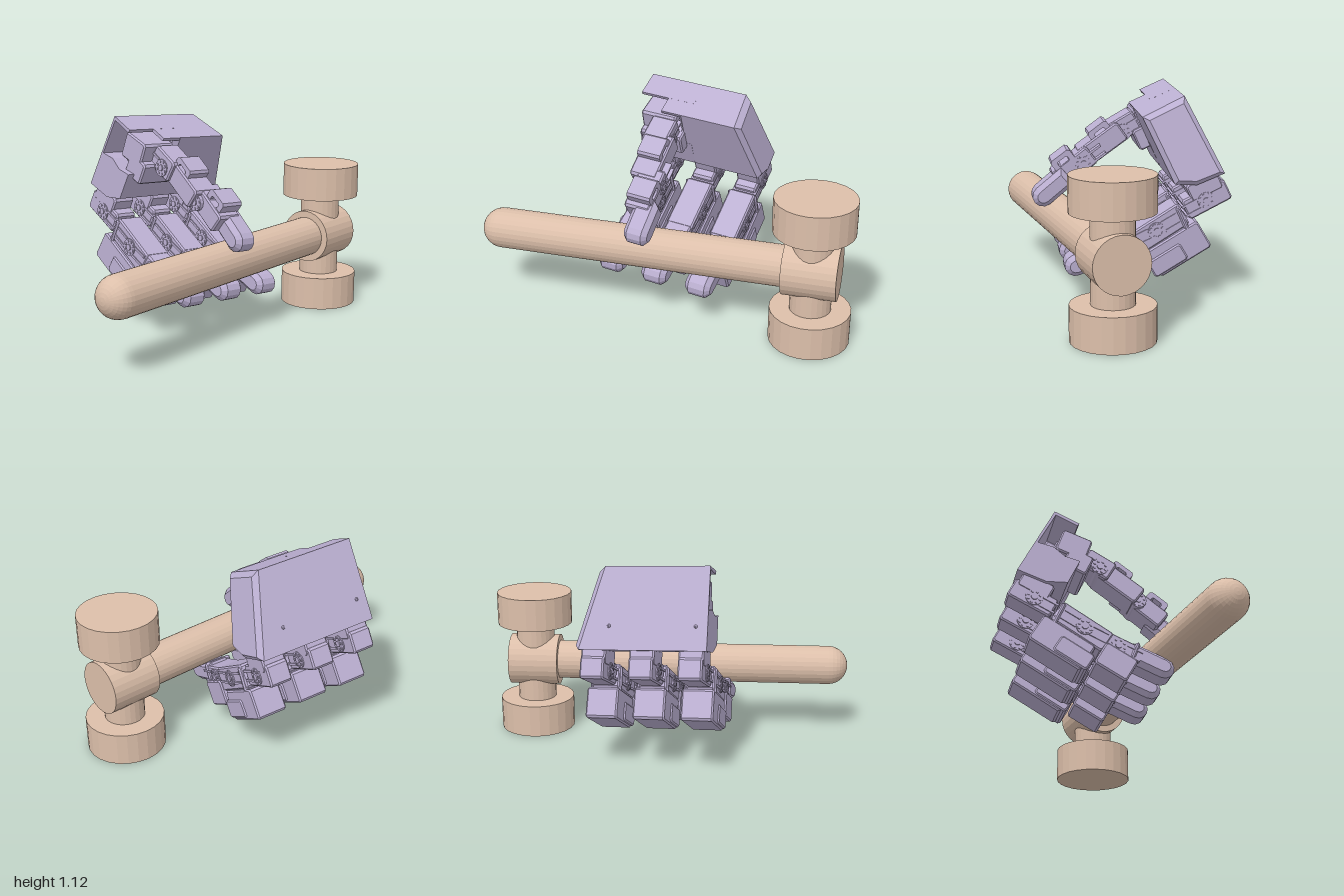
import * as THREE from 'three';

const wood = new THREE.MeshStandardMaterial({ color: 0xdcbfaa, flatShading: true, side: THREE.DoubleSide });
const shell = new THREE.MeshStandardMaterial({ color: 0xbcb0d2, flatShading: true, side: THREE.DoubleSide });

function add(parent, name, geometry, material, x = 0, y = 0, z = 0) {
  const mesh = new THREE.Mesh(geometry, material);
  mesh.name = name;
  mesh.position.set(x, y, z);
  parent.add(mesh);
  return mesh;
}

// Outline in x/y extruded between two z values
function prism(points, z0, z1, bevel = 0, hole = null) {
  const shape = new THREE.Shape(points.map(p => new THREE.Vector2(...p)));
  if (hole) shape.holes.push(new THREE.Path(hole.map(p => new THREE.Vector2(...p))));
  const g = new THREE.ExtrudeGeometry(shape, {
    depth: z1 - z0 - 2 * bevel, bevelEnabled: bevel > 0, bevelThickness: bevel,
    bevelSize: bevel, bevelOffset: -bevel, bevelSegments: 1
  });
  return g.translate(0, 0, z0 + bevel);
}

// Rectangle with clipped corners
function clipped(l, h, c) {
  const a = l / 2, b = h / 2;
  return [[-a + c, -b], [a - c, -b], [a, -b + c], [a, b - c], [a - c, b], [-a + c, b], [-a, b - c], [-a, -b + c]];
}

function block(parent, name, x, y, z, l, h, d, deg, hole = null) {
  const g = prism(clipped(l, h, 0.012), -d / 2, d / 2, hole ? 0 : 0.008, hole);
  const mesh = add(parent, name, g, shell, x, y, z);
  mesh.rotation.z = THREE.MathUtils.degToRad(deg);
  return mesh;
}

// Round servo horn with a ring of screws and slotted arm on both sides
function joint(parent, x, y, z, d, deg) {
  const g = new THREE.Group();
  g.name = 'joint';
  g.position.set(x, y, z);
  g.rotation.z = THREE.MathUtils.degToRad(deg);
  const disc = (name, r, len, px, py) => {
    add(g, name, new THREE.CylinderGeometry(r, r, len, 14).rotateX(Math.PI / 2), shell, px, py, 0);
  };
  disc('horn', 0.046, d + 0.012, 0, 0);
  disc('axle', 0.017, d + 0.024, 0, 0);
  for (let i = 0; i < 8; i++) {
    const a = i * Math.PI / 4;
    disc('screw', 0.007, d + 0.02, 0.033 * Math.cos(a), 0.033 * Math.sin(a));
  }
  for (const s of [-1, 1]) {
    add(g, 'armRib', new THREE.BoxGeometry(0.09, 0.012, d + 0.012), shell, 0.085, s * 0.026, 0);
  }
  parent.add(g);
}

// Padded tip: straight base with a rounded end
function tip(parent, name, x, y, z, l, h, d, deg) {
  const b = h / 2, pts = [[-l / 2, -b], [-l / 2, b]];
  for (let i = 0; i <= 6; i++) {
    const a = Math.PI / 2 - i * Math.PI / 6;
    pts.push([l / 2 - b + b * Math.cos(a), b * Math.sin(a)]);
  }
  const m = add(parent, name, prism(pts, -d / 2, d / 2, 0.025), shell, x, y, z);
  m.rotation.z = THREE.MathUtils.degToRad(deg);
}

function makeHammer() {
  const hammer = new THREE.Group();
  hammer.name = 'hammer';
  hammer.position.set(0.303, 0.405, -0.79);
  // Head: neck and two striking faces
  add(hammer, 'neck', new THREE.CylinderGeometry(0.108, 0.108, 0.5, 24), wood);
  for (const s of [-1, 1]) {
    add(hammer, 'strikingFace', new THREE.CylinderGeometry(0.211, 0.211, 0.18, 24), wood, 0, s * 0.313, 0);
  }
  // Handle, slightly turned in plan
  const shaft = new THREE.Group();
  shaft.name = 'shaft';
  shaft.rotation.y = 0.052;
  hammer.add(shaft);
  add(shaft, 'socket', new THREE.CylinderGeometry(0.145, 0.145, 0.28, 28).rotateX(Math.PI / 2), wood);
  add(shaft, 'handle', new THREE.CylinderGeometry(0.109, 0.109, 1.68, 28).rotateX(Math.PI / 2), wood, 0, 0, 0.84);
  add(shaft, 'handleEnd',
    new THREE.SphereGeometry(0.109, 28, 8, 0, Math.PI * 2, 0, Math.PI / 2).rotateX(Math.PI / 2), wood, 0, 0, 1.68);
  return hammer;
}

function makePalm() {
  const palm = new THREE.Group();
  palm.name = 'palm';
  // Closed half, its rear end sloping with height
  const outline = [[-0.244, 1.106], [-0.443, 0.72], [-0.29, 0.665], [-0.177, 0.672], [-0.02, 1.005]];
  const body = prism(outline, -0.33, 0.11, 0.025);
  const p = body.attributes.position;
  for (let i = 0; i < p.count; i++) {
    if (p.getZ(i) < -0.2) p.setZ(i, p.getZ(i) + 0.3 * (p.getY(i) - 0.72));
  }
  body.computeVertexNormals();
  add(palm, 'palmBody', body, shell);
  // Open half: back wall, short roof and floor around the thumb bay
  const bay = [[-0.244, 1.106], [-0.443, 0.72], [-0.29, 0.665], [-0.177, 0.672], [-0.11, 0.81],
    [-0.19, 0.83], [-0.25, 0.88], [-0.335, 0.9], [-0.238, 1.085], [-0.12, 1.03], [-0.11, 1.046]];
  add(palm, 'thumbBay', prism(bay, 0.05, 0.36), shell);
  add(palm, 'roof', prism([[-0.244, 1.106], [-0.238, 1.085], [-0.03, 0.99], [-0.02, 1.005]], 0.05, 0.2), shell);
  for (const z of [-0.15, 0.3]) {
    add(palm, 'screw', new THREE.SphereGeometry(0.01, 8, 6), shell, -0.385, 0.83, z);
  }
  return palm;
}

function makeFinger(z) {
  const f = new THREE.Group();
  f.name = 'finger';
  f.position.set(0.03, -0.016, z);
  // Knuckle fixed under the palm
  block(f, 'knuckleMount', -0.37, 0.665, 0, 0.18, 0.1, 0.13, -27);
  block(f, 'knuckle', -0.385, 0.595, 0, 0.25, 0.115, 0.125, -27);
  joint(f, -0.38, 0.592, 0, 0.125, -27);
  // Base motor and middle link
  block(f, 'baseMotor', -0.24, 0.338, 0, 0.31, 0.165, 0.17, -31);
  block(f, 'baseMotorCap', -0.18, 0.28, 0, 0.2, 0.1, 0.185, -31);
  block(f, 'middleLink', -0.13, 0.445, 0, 0.31, 0.13, 0.15, -32);
  block(f, 'linkFrame', -0.255, 0.5, 0, 0.025, 0.15, 0.17, -25);
  joint(f, -0.12, 0.44, 0, 0.15, 150);
  joint(f, -0.12, 0.44, 0, 0.15, -25);
  // Outer motor and distal link
  block(f, 'outerMotor', 0.04, 0.255, 0, 0.19, 0.14, 0.17, -30);
  block(f, 'distalLink', 0.065, 0.345, 0, 0.2, 0.11, 0.14, -24);
  block(f, 'tipCollar', 0.14, 0.32, 0, 0.025, 0.13, 0.155, -22);
  joint(f, 0.055, 0.35, 0, 0.14, -24);
  tip(f, 'fingertip', 0.235, 0.285, 0, 0.25, 0.115, 0.14, -23);
  return f;
}

function makeThumb() {
  const t = new THREE.Group();
  t.name = 'thumb';
  t.position.set(0.02, -0.01, 0);
  // Motors inside the bay
  block(t, 'baseMotor', -0.15, 0.945, 0.22, 0.17, 0.14, 0.2, -20);
  block(t, 'baseBracket', -0.2, 0.9, 0.2, 0.14, 0.16, 0.14, -25);
  block(t, 'motorSeat', -0.13, 0.85, 0.2, 0.14, 0.12, 0.24, -25);
  // Links
  block(t, 'firstLink', 0, 0.89, 0.175, 0.17, 0.12, 0.14, -30);
  joint(t, 0.005, 0.868, 0.175, 0.14, 150);
  block(t, 'secondLink', 0.12, 0.805, 0.15, 0.27, 0.115, 0.15, -36);
  joint(t, 0.225, 0.715, 0.12, 0.15, 144);
  block(t, 'thirdLink', 0.275, 0.69, 0.11, 0.24, 0.11, 0.14, -38);
  // Upright brackets with windows
  const window = clipped(0.065, 0.03, 0.008);
  for (const [x, y, z] of [[0.13, 0.872, 0.15], [0.335, 0.73, 0.1]]) {
    block(t, 'windowBracket', x, y, z, 0.125, 0.08, 0.13, -37, window);
  }
  tip(t, 'thumbTip', 0.4, 0.58, 0.07, 0.23, 0.115, 0.13, -40);
  return t;
}

export function createModel() {
  const model = new THREE.Group();
  model.name = 'handHoldingHammer';
  model.add(makeHammer());
  // Hand, tilted slightly across the handle
  const hand = new THREE.Group();
  hand.name = 'hand';
  hand.rotation.set(-0.06, -0.11, 0);
  hand.add(makePalm(), makeThumb());
  for (const z of [0.275, 0.02, -0.235]) hand.add(makeFinger(z));
  model.add(hand);
  return model;
}
